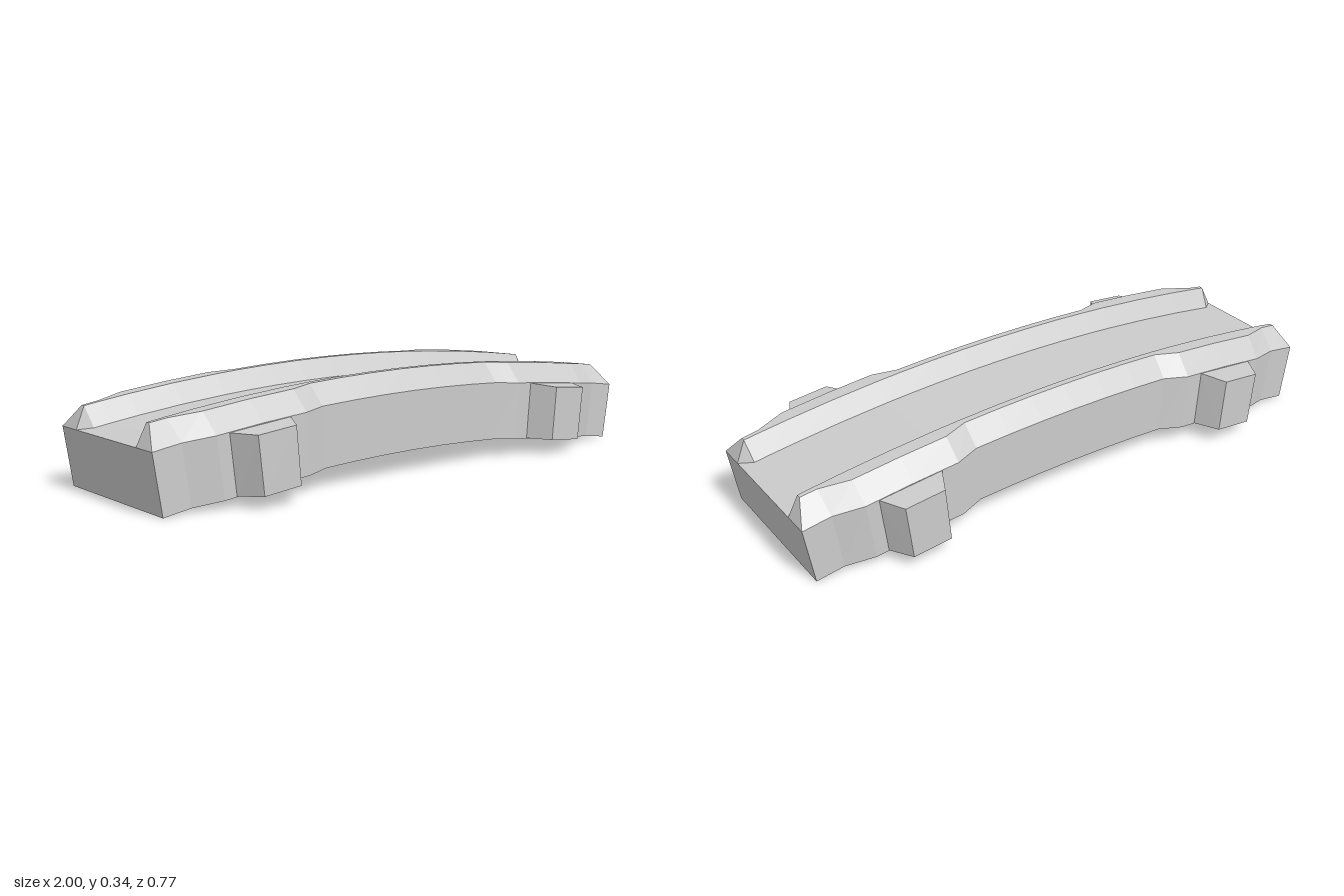
import * as THREE from 'three';

const R = 6.3;          // radius of the arched underside
const RISE = 0.0745;    // underside height at mid-span
const WALL = 0.2;       // side wall and deck height
const RIDGE = 0.266;    // kerb ridge height

// Bends straight coordinates (u along, r above the underside, z across) onto the arch.
function bend(u, r, z) {
  const a = Math.asin(u / (R + WALL));
  return [(R + r) * Math.sin(a), (R + r) * Math.cos(a) - R + RISE, z];
}

// Half-span stations: [u, wall z, outer ridge z]
const half = [
  [0, 0.27, 0.21], [0.13, 0.27, 0.21], [0.26, 0.27, 0.21], [0.385, 0.27, 0.21],
  [0.47, 0.3, 0.238], [0.635, 0.3, 0.238], [0.8, 0.3, 0.238],
  [0.9, 0.27, 0.204], [0.957, 0.27, 0.202], [1, 0.27, 0.27],
];

// One side of the cross-section, from the wall foot to the deck edge.
function profile([u, wall, ridge]) {
  if (u === 1) return [[wall, 0], [wall, WALL], [wall, WALL], [0.18, WALL], [0.18, WALL]];
  return [[wall, 0], [wall, WALL], [ridge, RIDGE], [0.187, RIDGE], [0.145, WALL]];
}

function meshFrom(positions, index, name, material) {
  let g = new THREE.BufferGeometry();
  g.setAttribute('position', new THREE.Float32BufferAttribute(positions, 3));
  g.setIndex(index);
  g = g.toNonIndexed();
  g.computeVertexNormals();
  const mesh = new THREE.Mesh(g, material);
  mesh.name = name;
  return mesh;
}

export function createModel() {
  const model = new THREE.Group();
  model.name = 'archedDeck';
  const material = new THREE.MeshStandardMaterial({
    color: 0xcccccc, flatShading: true, side: THREE.DoubleSide,
  });

  // Open-bottomed shell: walls, raised kerbs and deck lofted along the arch
  const stations = [
    ...half.slice(1).reverse().map(([u, w, k]) => ({ s: -1, row: [u, w, k] })),
    ...half.map((row) => ({ s: 1, row })),
  ];
  const pos = [], idx = [], n = 10;
  stations.forEach(({ s, row }, i) => {
    const side = profile(row);
    const ring = [...side.map(([z, r]) => [-z, r]), ...side.slice().reverse()];
    ring.forEach(([z, r]) => pos.push(...bend(s * row[0], r, z)));
    if (i === 0) return;
    for (let j = 0; j < n - 1; j++) {
      const a = (i - 1) * n + j, b = a + n;
      idx.push(a, a + 1, b, a + 1, b + 1, b);
    }
  });
  model.add(meshFrom(pos, idx, 'deckShell', material));

  // Flat end panels
  for (const s of [-1, 1]) {
    const corners = [[0, 0.27], [0, -0.27], [WALL, -0.27], [WALL, 0.27]];
    const p = corners.flatMap(([r, z]) => bend(s, r, z));
    const faces = s > 0 ? [0, 1, 2, 0, 2, 3] : [0, 2, 1, 0, 3, 2];
    model.add(meshFrom(p, faces, s > 0 ? 'leftEndPanel' : 'rightEndPanel', material));
  }

  // Tapered side lugs, open where they meet the wall
  for (const sx of [-1, 1]) {
    const box = new THREE.BoxGeometry(2, 2, 2);
    const v = box.attributes.position;
    for (let i = 0; i < v.count; i++) {
      const outer = v.getZ(i) > 0;
      const u = sx * 0.643 + v.getX(i) * (outer ? 0.07 : 0.112);
      const r = v.getY(i) > 0 ? (outer ? 0.193 : 0.198) : (outer ? 0.005 : 0.001);
      v.setXYZ(i, ...bend(u, r, outer ? 0.385 : 0.3));
    }
    const faces = Array.from(box.index.array).slice(0, 30);
    for (const sz of [-1, 1]) {
      const name = (sz > 0 ? 'front' : 'back') + (sx > 0 ? 'Left' : 'Right') + 'Lug';
      const lug = meshFrom(Array.from(v.array), faces, name, material);
      lug.scale.z = sz;
      model.add(lug);
    }
  }
  return model;
}
